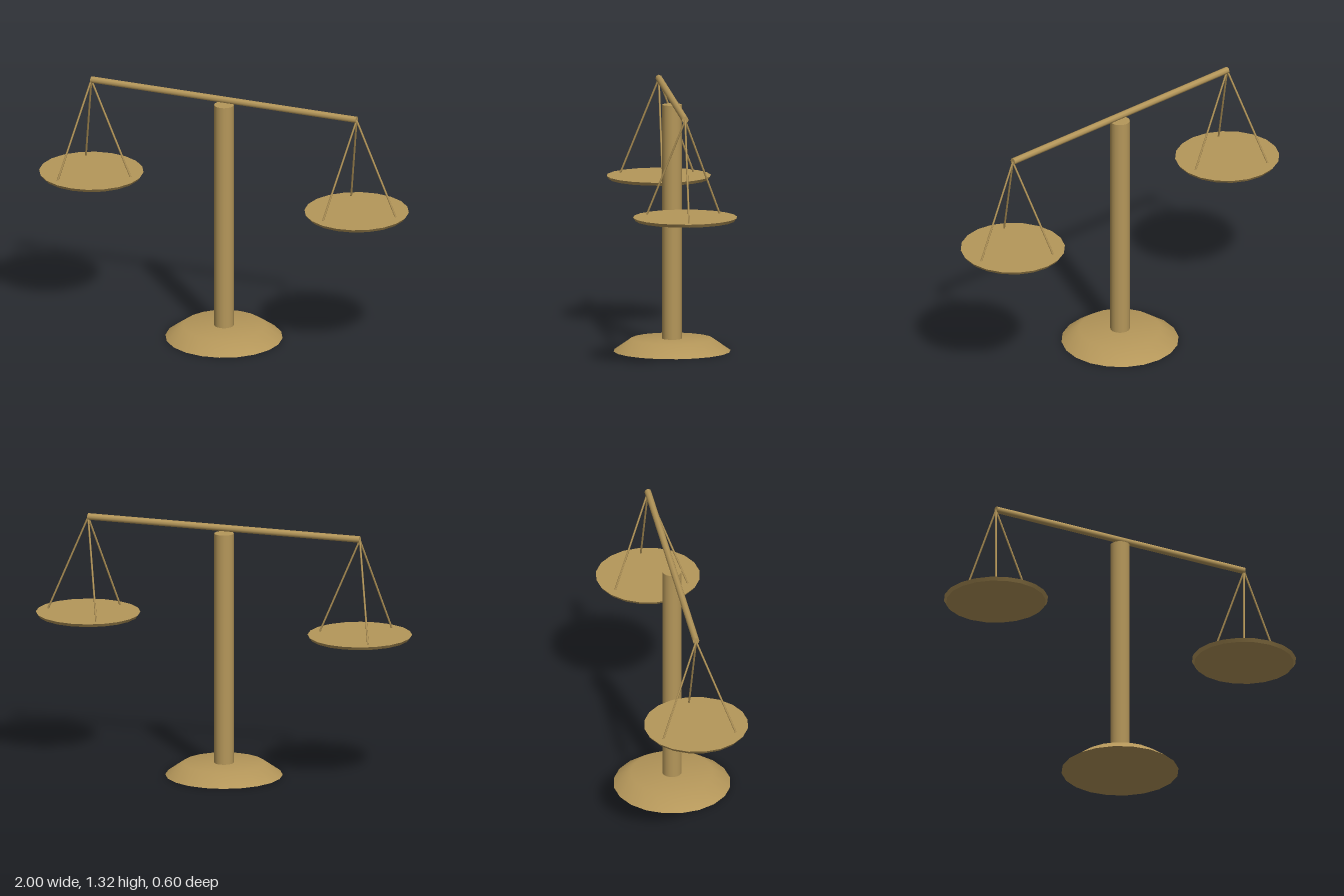
import * as THREE from 'three';

export function createModel() {
  const model = new THREE.Group();
  model.name = 'balanceScale';
  const brass = new THREE.MeshStandardMaterial({ color: 0xb5975a });
  brass.name = 'brass';

  const add = (parent, name, geometry, x = 0, y = 0, z = 0) => {
    const mesh = new THREE.Mesh(geometry, brass);
    mesh.name = name;
    mesh.position.set(x, y, z);
    parent.add(mesh);
    return mesh;
  };

  // Straight round rod between two points
  const rod = (parent, name, a, b, radius, sides) => {
    const dir = b.clone().sub(a);
    const mid = a.clone().add(b).multiplyScalar(0.5);
    const mesh = add(parent, name, new THREE.CylinderGeometry(radius, radius, dir.length(), sides), mid.x, mid.y, mid.z);
    mesh.quaternion.setFromUnitVectors(new THREE.Vector3(0, 1, 0), dir.normalize());
    return mesh;
  };

  // Foot: sloped dome with a softly shaded top, closed by a flat underside
  const footProfile = [[0.3, 0], [0.21, 0.063], [0, 0.063]].map(([r, y]) => new THREE.Vector2(r, y));
  add(model, 'foot', new THREE.LatheGeometry(footProfile, 20));
  add(model, 'footUnderside', new THREE.CircleGeometry(0.3, 20).rotateX(Math.PI / 2));

  // Column, ending just under the beam
  add(model, 'column', new THREE.CylinderGeometry(0.05, 0.05, 1.21, 16), 0, 0.665, 0);

  // Beam
  const armX = 0.733, beamY = 1.298, panTop = 0.797;
  rod(model, 'beam', new THREE.Vector3(-armX, beamY, 0), new THREE.Vector3(armX, beamY, 0), 0.0175, 8);

  // Each pan hangs from three rods spaced evenly round it
  for (const side of [-1, 1]) {
    const hanger = new THREE.Group();
    hanger.name = side > 0 ? 'leftPanAssembly' : 'rightPanAssembly';
    hanger.position.x = side * armX;
    model.add(hanger);
    add(hanger, 'pan', new THREE.CylinderGeometry(0.267, 0.255, 0.017, 20), 0, panTop - 0.0085, 0);
    for (let i = 0; i < 3; i++) {
      const a = (i * Math.PI * 2) / 3;
      rod(hanger, 'hangingRod', new THREE.Vector3(0.218 * Math.cos(a), panTop - 0.005, 0.218 * Math.sin(a)),
        new THREE.Vector3(0, beamY - 0.003, 0), 0.005, 6);
    }
  }
  return model;
}
